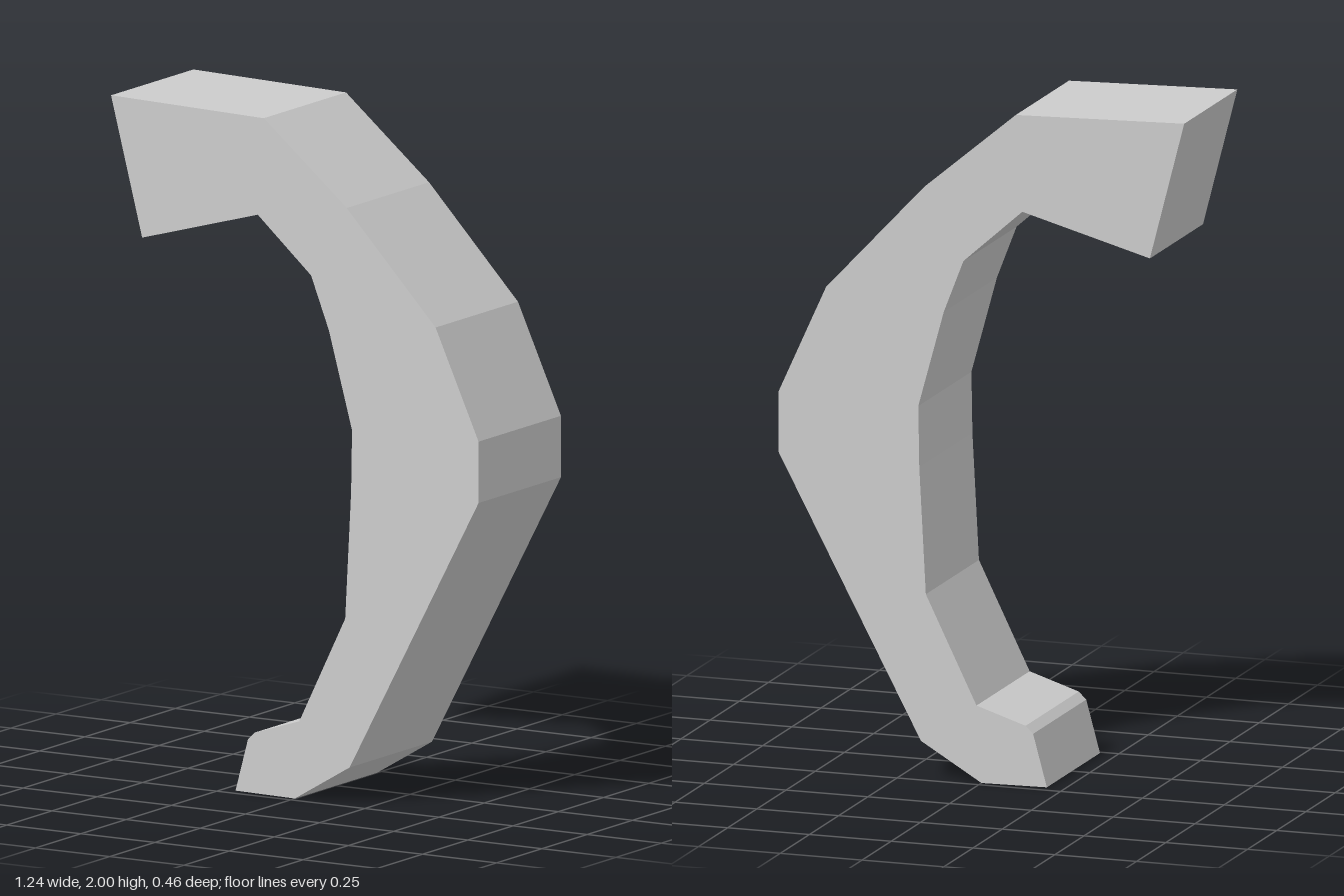
import * as THREE from 'three';

export function createModel() {
  const model = new THREE.Group();
  model.name = 'hookBracket';
  const grey = new THREE.MeshStandardMaterial({ color: 0xcccccc, flatShading: true });
  grey.name = 'light grey';

  // Side profile: foot, outer back, top arm, then the inner curve down to the toe
  const profile = [
    [-0.2, 0.003], [0, 0], [0.185, 0.11], [0.62, 0.93], [0.62, 1.11], [0.475, 1.43],
    [0.175, 1.75], [-0.105, 1.985], [-0.62, 2], [-0.515, 1.593], [-0.125, 1.7],
    [0.055, 1.54], [0.115, 1.385], [0.193, 1.1], [0.19, 0.92], [0.17, 0.545],
    [0.015, 0.228], [-0.135, 0.18], [-0.158, 0.158],
  ];
  const shape = new THREE.Shape(profile.map(([x, y]) => new THREE.Vector2(x, y)));

  // Extrude to the full width and centre on z
  const depth = 0.455;
  const geometry = new THREE.ExtrudeGeometry(shape, { depth, bevelEnabled: false });
  geometry.translate(0, 0, -depth / 2);

  const hook = new THREE.Mesh(geometry, grey);
  hook.name = 'hook';
  model.add(hook);
  return model;
}
